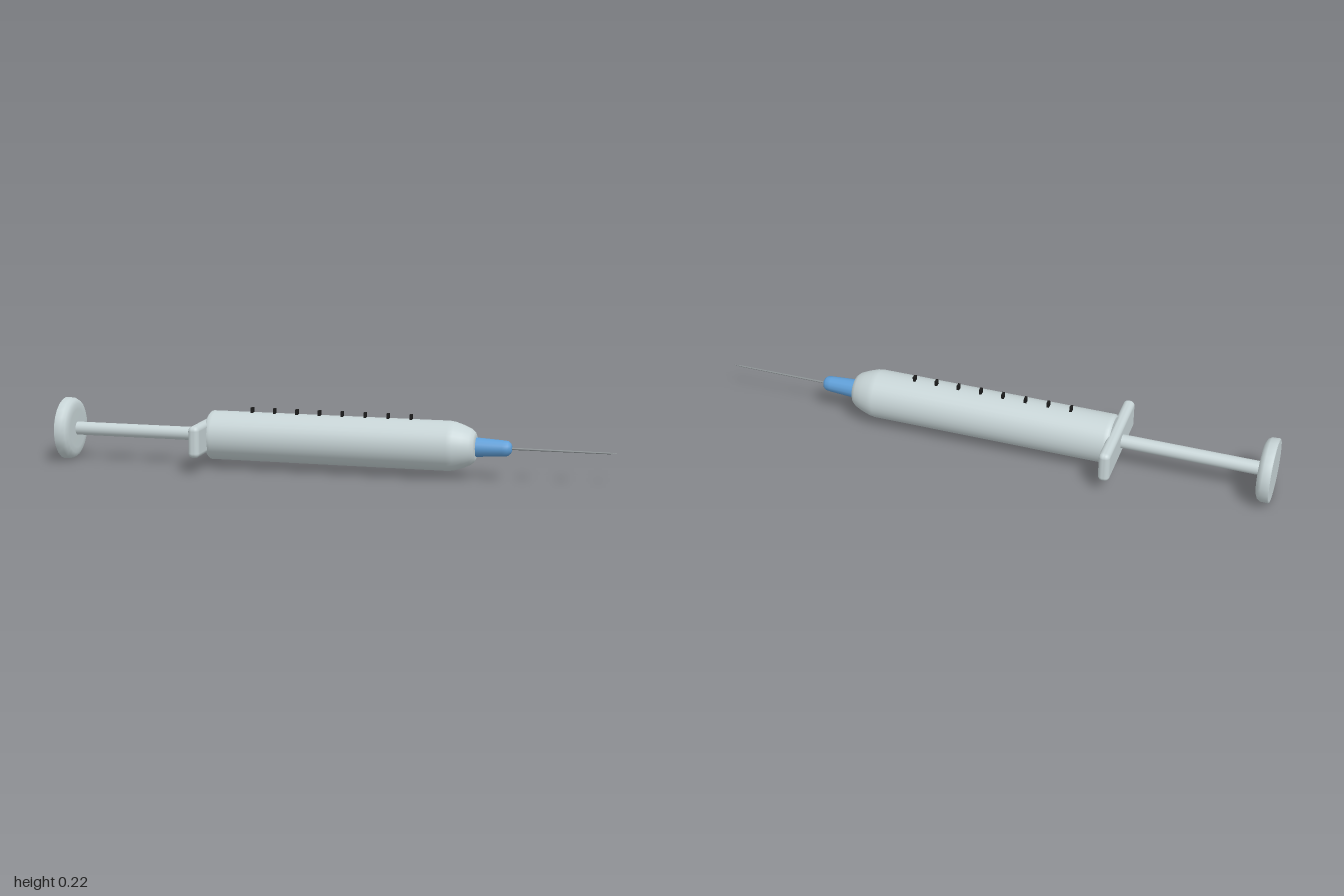
import * as THREE from 'three';
import { RoundedBoxGeometry } from 'three/addons/geometries/RoundedBoxGeometry.js';

const AXIS_Y = 0.113;

export function createModel() {
  const group = new THREE.Group();
  group.name = 'syringe';

  const material = (name, color) => {
    const m = new THREE.MeshStandardMaterial({ color });
    m.name = name;
    return m;
  };
  const plastic = material('pale plastic', 0xc7d4d6);
  const blue = material('hub blue', 0x5f9fd8);
  const steel = material('needle steel', 0x8c9294);
  const black = material('mark black', 0x1c1c1c);

  const add = (name, geometry, mat, x, y = AXIS_Y) => {
    const mesh = new THREE.Mesh(geometry, mat);
    mesh.name = name;
    mesh.position.set(x, y, 0);
    group.add(mesh);
    return mesh;
  };

  // Turned part along x; profile entries are [x, radius], repeated points make creases
  const turned = (name, profile, sides, mat) => {
    const points = profile.map(([x, r]) => new THREE.Vector2(r, x));
    const geometry = new THREE.LatheGeometry(points, sides);
    geometry.rotateZ(-Math.PI / 2);
    return add(name, geometry, mat, 0);
  };

  // Thumb disc with softened inner edge
  turned('thumbRest', [
    [-1, 0], [-1, 0.108], [-1, 0.108], [-0.997, 0.112], [-0.972, 0.111],
    [-0.96, 0.104], [-0.953, 0.09], [-0.952, 0.07], [-0.952, 0],
  ], 24, plastic);

  // Plunger rod
  turned('plungerRod', [[-0.96, 0.024], [-0.44, 0.024]], 20, plastic);

  // Finger flange
  add('fingerFlange', new RoundedBoxGeometry(0.04, 0.112, 0.35, 4, 0.017), plastic, -0.45);

  // Barrel with rounded shoulder
  turned('barrel', [
    [-0.44, 0], [-0.44, 0.08], [-0.44, 0.08], [-0.433, 0.087], [-0.42, 0.087],
    [0.425, 0.087], [0.445, 0.084], [0.475, 0.074], [0.5, 0.063],
    [0.513, 0.052], [0.518, 0.04], [0.518, 0],
  ], 32, plastic);

  // Needle hub
  turned('needleHub', [
    [0.51, 0], [0.51, 0.034], [0.51, 0.034], [0.61, 0.028],
    [0.628, 0.026], [0.638, 0.017], [0.641, 0.01], [0.641, 0],
  ], 14, blue);

  // Needle with pointed tip
  turned('needle', [[0.63, 0.004], [0.97, 0.003], [1, 0]], 10, steel);

  // Graduation marks along the top of the barrel
  for (let i = 0; i < 8; i++) {
    add('graduationMark', new THREE.BoxGeometry(0.009, 0.018, 0.017), black, -0.285 + i * 0.082, 0.208);
  }

  return group;
}
